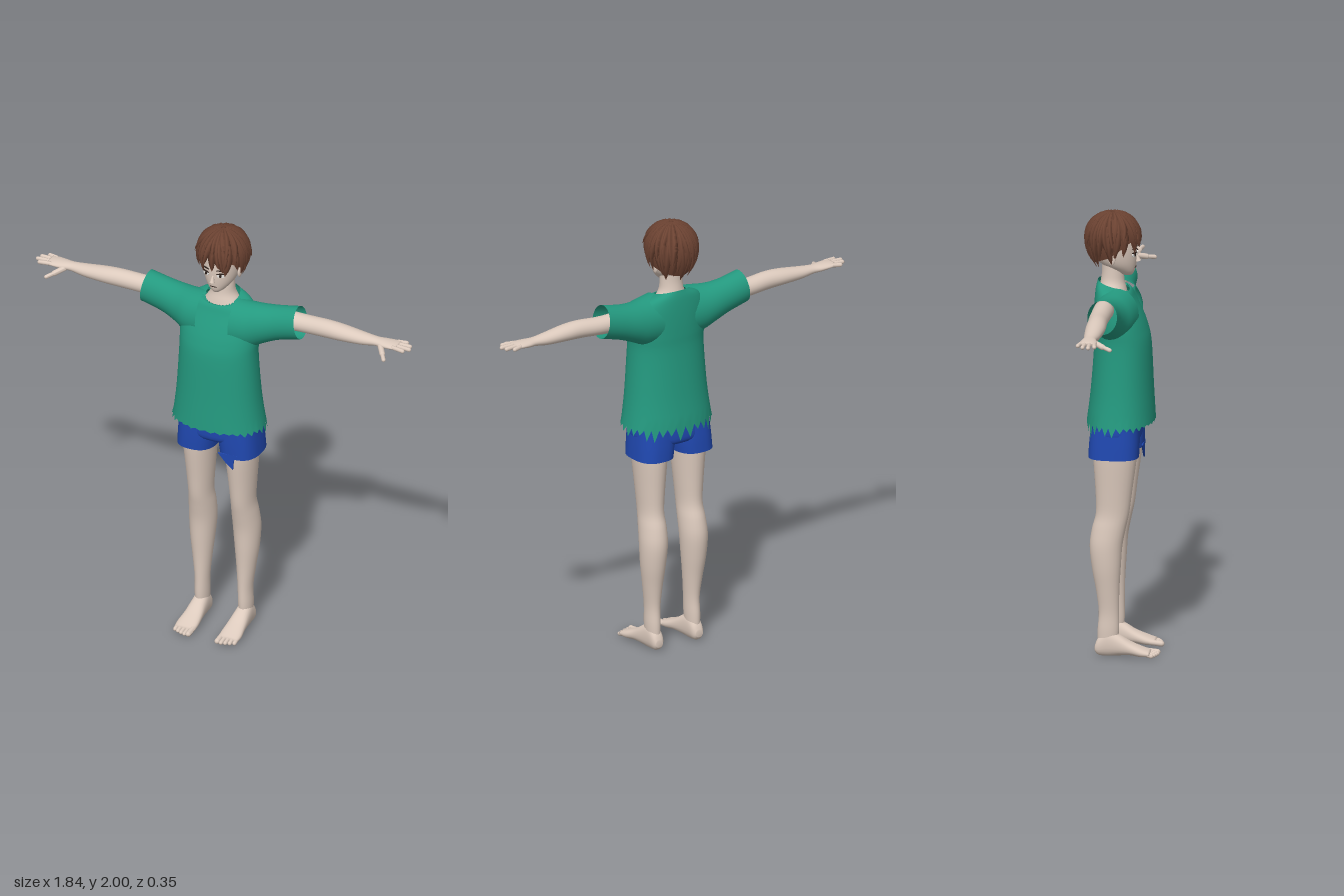
import * as THREE from 'three';

const mat = (name, color, side = THREE.FrontSide) => {
  const m = new THREE.MeshStandardMaterial({ color, side });
  m.name = name;
  return m;
};

// Indexed surface from closed rings of points, ordered counter-clockwise around the travel direction
function skinRings(rings, capStart, capEnd) {
  const n = rings[0].length, pos = [], idx = [];
  rings.forEach(r => r.forEach(p => pos.push(p.x, p.y, p.z)));
  for (let i = 0; i < rings.length - 1; i++) {
    for (let j = 0; j < n; j++) {
      const k = (j + 1) % n, a = i * n + j, b = i * n + k, c = a + n, d = b + n;
      idx.push(a, b, d, a, d, c);
    }
  }
  const cap = (row, flip) => {
    const mid = new THREE.Vector3(), c = pos.length / 3;
    rings[row].forEach(p => mid.addScaledVector(p, 1 / n));
    pos.push(mid.x, mid.y, mid.z);
    for (let j = 0; j < n; j++) {
      const a = row * n + j, b = row * n + (j + 1) % n;
      flip ? idx.push(c, b, a) : idx.push(c, a, b);
    }
  };
  if (capStart) cap(0, true);
  if (capEnd) cap(rings.length - 1, false);
  const g = new THREE.BufferGeometry();
  g.setAttribute('position', new THREE.Float32BufferAttribute(pos, 3));
  g.setIndex(idx);
  g.computeVertexNormals();
  return g;
}

// Smooth loft along an axis. Rows: x axis [x,y0,y1,z0,z1], y axis [y,z0,z1,x0,x1], z axis [z,x0,x1,y0,y1]
function loft(axis, rows, { seg = 24, power = 2, steps = 4, caps = [true, true], tweak } = {}) {
  const last = rows.length - 1, rings = [];
  const at = i => rows[Math.max(0, Math.min(last, i))];
  const round = v => Math.sign(v) * Math.abs(v) ** (2 / power);
  for (let s = 0; s <= last * steps; s++) {
    const i = Math.min(last - 1, Math.floor(s / steps)), u = s / steps - i;
    const [t, a0, a1, b0, b1] = rows[0].map((_, k) => {
      const p = at(i - 1)[k], q = at(i)[k], r = at(i + 1)[k], w = at(i + 2)[k];
      return q + 0.5 * u * (r - p + u * (2 * p - 5 * q + 4 * r - w + u * (3 * (q - r) + w - p)));
    });
    rings.push(Array.from({ length: seg }, (_, j) => {
      const th = j / seg * Math.PI * 2;
      const a = (a0 + a1) / 2 + (a1 - a0) / 2 * round(Math.cos(th));
      const b = (b0 + b1) / 2 + (b1 - b0) / 2 * round(Math.sin(th));
      const v = axis === 'x' ? new THREE.Vector3(t, a, b)
        : axis === 'y' ? new THREE.Vector3(b, t, a) : new THREE.Vector3(a, b, t);
      if (tweak) tweak(v, th, s / (last * steps), j);
      return v;
    }));
  }
  return skinRings(rings, caps[0], caps[1]);
}

// Capsule between two points, for fingers and toes
function digit(from, to, r) {
  const a = new THREE.Vector3(...from), b = new THREE.Vector3(...to), d = b.clone().sub(a);
  const g = new THREE.CapsuleGeometry(r, d.length(), 4, 10);
  g.applyQuaternion(new THREE.Quaternion().setFromUnitVectors(new THREE.Vector3(0, 1, 0), d.normalize()));
  return g.translate((a.x + b.x) / 2, (a.y + b.y) / 2, (a.z + b.z) / 2);
}

function mirrored(geo) {
  const g = geo.clone().scale(-1, 1, 1), ix = g.index.array;
  for (let i = 0; i < ix.length; i += 3) [ix[i], ix[i + 1]] = [ix[i + 1], ix[i]];
  g.computeVertexNormals();
  return g;
}

// Point on the hair volume: azimuth 0 is the front, phi runs from the crown downwards
function hairPoint(a, phi, r) {
  const low = Math.max(0, phi - Math.PI / 2);
  const s = (low ? 1 - 0.25 * low * low : Math.sin(phi)) * r;
  const y = low ? -low : Math.cos(phi) * r;
  return new THREE.Vector3(0.113 * s * Math.sin(a), 1.885 + 0.11 * y, -0.04 + 0.118 * s * Math.cos(a));
}
const hairEdge = a => 2.42 - 0.37 * Math.cos(a);

// Tapered lock of hair from crown to tip
function lock(a, phi0, phi1, width, thick, curl, flick) {
  const rings = [];
  for (let i = 0; i <= 8; i++) {
    const t = i / 8, az = a + curl * t * t;
    const c = hairPoint(az, phi0 + (phi1 - phi0) * t, 0.99 + flick * t ** 3);
    const k = Math.max(0.02, Math.sin(Math.PI * (0.12 + 0.88 * t)) ** 0.7);
    const T = new THREE.Vector3(Math.cos(az), 0, -Math.sin(az)).multiplyScalar(width * k);
    const N = c.clone().sub(new THREE.Vector3(0, 1.86, -0.04)).normalize().multiplyScalar(thick * k);
    rings.push([c.clone().add(T), c.clone().add(N), c.clone().sub(T), c.clone().sub(N)]);
  }
  return skinRings(rings, true, true);
}

export function createModel() {
  const model = new THREE.Group();
  const skin = mat('skin', 0xdccabd);
  const shirtMat = mat('shirt green', 0x24997f, THREE.DoubleSide);
  const shortsMat = mat('shorts blue', 0x2048b0, THREE.DoubleSide);
  const hairMat = mat('hair brown', 0x6e4433, THREE.DoubleSide);
  const white = mat('eye white', 0xf0eeea);
  const dark = mat('dark lines', 0x30241f);
  const add = (name, geo, m) => {
    const mesh = new THREE.Mesh(geo, m);
    mesh.name = name;
    model.add(mesh);
    return mesh;
  };
  const pair = (name, geo, m) => {
    add(name + 'Left', geo, m);
    add(name + 'Right', mirrored(geo), m);
  };

  // Legs and feet
  pair('leg', loft('y', [
    [0.06, -0.095, -0.005, 0.078, 0.135], [0.12, -0.095, 0, 0.075, 0.138], [0.2, -0.09, 0, 0.073, 0.138],
    [0.3, -0.102, 0.002, 0.065, 0.15], [0.4, -0.12, 0.008, 0.055, 0.163], [0.5, -0.13, 0.015, 0.047, 0.168],
    [0.58, -0.12, 0.03, 0.047, 0.163], [0.65, -0.103, 0.045, 0.05, 0.157], [0.75, -0.105, 0.058, 0.043, 0.163],
    [0.9, -0.115, 0.078, 0.03, 0.175], [0.98, -0.115, 0.08, 0.022, 0.178]]), skin);
  pair('foot', loft('z', [
    [-0.106, 0.09, 0.125, 0.02, 0.05], [-0.09, 0.078, 0.135, 0.004, 0.085], [-0.05, 0.073, 0.14, 0, 0.12],
    [0, 0.068, 0.145, 0.004, 0.098], [0.05, 0.062, 0.15, 0.007, 0.067], [0.1, 0.058, 0.157, 0.002, 0.045],
    [0.14, 0.061, 0.154, 0.004, 0.03]], { power: 2.3 }), skin);
  [0.17, 0.168, 0.163, 0.156, 0.147].forEach((tip, i) => {
    const x = 0.071 + i * 0.0185, r = i ? 0.0095 : 0.0125;
    pair('toe' + (i + 1), digit([x, 0.02, 0.115], [x, r + 0.002, tip - r + 0.01], r), skin);
  });

  // Arms and hands
  pair('arm', loft('x', [
    [0.2, 1.55, 1.645, -0.1, -0.01], [0.38, 1.558, 1.64, -0.1, -0.015], [0.5, 1.565, 1.646, -0.093, -0.008],
    [0.58, 1.568, 1.642, -0.092, -0.006], [0.68, 1.573, 1.629, -0.086, -0.015], [0.745, 1.583, 1.622, -0.08, -0.024],
    [0.785, 1.586, 1.621, -0.087, -0.016], [0.825, 1.592, 1.62, -0.091, -0.011], [0.855, 1.599, 1.617, -0.09, -0.012]]), skin);
  [[-0.022, 0.9, -0.015], [-0.042, 0.92, -0.04], [-0.062, 0.912, -0.066], [-0.081, 0.885, -0.09]].forEach(([z, tip, z2], i) =>
    pair('finger' + (i + 1), digit([0.84, 1.608, z], [tip - 0.009, 1.606, z2], 0.0095), skin));
  pair('thumbBase', digit([0.775, 1.597, -0.03], [0.805, 1.585, 0.012], 0.013), skin);
  pair('thumbTip', digit([0.805, 1.585, 0.012], [0.828, 1.578, 0.046], 0.0095), skin);

  // Neck, head, nose and ears
  add('neck', loft('y', [
    [1.6, -0.1, 0.03, -0.11, 0.11], [1.65, -0.1, 0.02, -0.075, 0.075], [1.685, -0.093, 0.012, -0.056, 0.056],
    [1.73, -0.088, 0.008, -0.052, 0.052], [1.79, -0.09, 0, -0.052, 0.052]]), skin);
  add('head', loft('y', [
    [1.712, 0, 0.045, -0.016, 0.016], [1.728, -0.03, 0.056, -0.037, 0.037], [1.76, -0.09, 0.063, -0.064, 0.064],
    [1.8, -0.12, 0.067, -0.079, 0.079], [1.85, -0.13, 0.068, -0.086, 0.086], [1.9, -0.135, 0.064, -0.084, 0.084],
    [1.95, -0.11, 0.035, -0.06, 0.06], [1.975, -0.06, -0.02, -0.02, 0.02]], { seg: 32 }), skin);
  const nose = new THREE.ConeGeometry(0.012, 0.046, 8).scale(1, 1, 1.1).rotateX(-0.28);
  add('nose', nose.translate(0, 1.796, 0.067), skin);
  pair('ear', new THREE.SphereGeometry(0.02, 12, 8).scale(0.4, 1.3, 0.8).translate(0.082, 1.795, -0.035), skin);

  // Eyes, brows and mouth
  const plate = (w, h, x, y, z, turn) => new THREE.CylinderGeometry(1, 1, 0.004, 20)
    .rotateX(Math.PI / 2).scale(w, h, 1).rotateY(turn).translate(x, y, z);
  pair('eye', plate(0.018, 0.009, 0.036, 1.81, 0.06, 0.45), white);
  pair('iris', plate(0.006, 0.008, 0.035, 1.81, 0.0625, 0.45), dark);
  pair('lash', plate(0.02, 0.0025, 0.036, 1.819, 0.061, 0.45), dark);
  pair('brow', plate(0.02, 0.0025, 0.036, 1.836, 0.061, 0.45), dark);
  add('mouth', plate(0.016, 0.0015, 0, 1.748, 0.061, 0), dark);

  // Hair: a cap under layered locks
  const cap = [];
  for (let i = 0; i <= 12; i++) {
    cap.push(Array.from({ length: 40 }, (_, j) => {
      const a = j / 40 * Math.PI * 2;
      const end = hairEdge(a) - 0.15 - 0.42 * Math.max(0, Math.cos(a));
      return hairPoint(a, 0.02 + (end - 0.02) * i / 12, 0.98);
    }));
  }
  add('hairCap', skinRings(cap, true, false), hairMat);
  [[26, 0.5, 0, 0.021], [22, 0.2, -0.3, 0.02], [16, 0.1, -0.75, 0.019]].forEach(([count, start, shift, width], layer) => {
    for (let i = 0; i < count; i++) {
      const a = (i + layer * 0.37) / count * Math.PI * 2, wob = Math.sin(i * 2.7 + layer * 1.9);
      add('hairLock', lock(a, start, hairEdge(a) + shift + wob * 0.13, width, 0.009,
        0.22 * Math.sin(i * 1.7 + layer), 0.05 + layer * 0.025 + 0.03 * wob), hairMat);
    }
  });

  // Shirt with torn hem and neckline
  add('shirtBody', loft('y', [
    [1.06, -0.152, 0.148, -0.213, 0.213], [1.2, -0.135, 0.14, -0.195, 0.195], [1.4, -0.12, 0.13, -0.182, 0.182],
    [1.48, -0.12, 0.113, -0.184, 0.184], [1.54, -0.12, 0.09, -0.182, 0.182], [1.6, -0.118, 0.062, -0.17, 0.17],
    [1.645, -0.113, 0.047, -0.135, 0.135], [1.668, -0.105, 0.036, -0.076, 0.076]], {
    seg: 64, power: 2.2, caps: [false, false],
    tweak: (v, th, t, j) => {
      const front = Math.cos(th);
      if (t > 0.7) v.y -= (t - 0.7) / 0.3 * 0.022 * front;
      if (t === 0 && j % 2) {
        v.y -= (0.024 - 0.018 * front) * (1.15 + 0.45 * Math.sin(j * 2.3));
        v.x *= 1.03;
      }
      if (t === 1 && front > 0.3 && j % 2) v.y -= 0.014;
    } }), shirtMat);
  pair('sleeve', loft('x', [
    [0.08, 1.43, 1.665, -0.112, 0.085], [0.15, 1.445, 1.658, -0.115, 0.068], [0.21, 1.475, 1.656, -0.114, 0.042],
    [0.28, 1.505, 1.663, -0.11, 0.026], [0.377, 1.532, 1.682, -0.108, 0.024]], {
    seg: 32, caps: [false, false],
    tweak: (v, th, t) => { v.x -= 0.012 * t * Math.cos(th); } }), shirtMat);

  // Shorts with a torn flap
  add('shortsSeat', loft('y', [
    [0.972, -0.12, 0.08, -0.11, 0.11], [1, -0.13, 0.091, -0.186, 0.186], [1.1, -0.12, 0.09, -0.178, 0.178]],
    { seg: 40, power: 2.6 }), shortsMat);
  pair('shortsLeg', loft('y', [
    [0.908, -0.135, 0.088, 0.014, 0.196], [0.97, -0.132, 0.09, 0.006, 0.192], [1.04, -0.125, 0.09, 0.002, 0.186]],
    { seg: 32, power: 2.6, caps: [false, false] }), shortsMat);
  const flap = new THREE.Shape([[0.035, 0.925], [0.07, 0.887], [0.108, 0.855], [0.112, 0.9], [0.135, 0.93]]
    .map(p => new THREE.Vector2(...p)));
  add('shortsFlap', new THREE.ExtrudeGeometry(flap, { depth: 0.006, bevelEnabled: false }).translate(0, 0, 0.083), shortsMat);

  return model;
}
